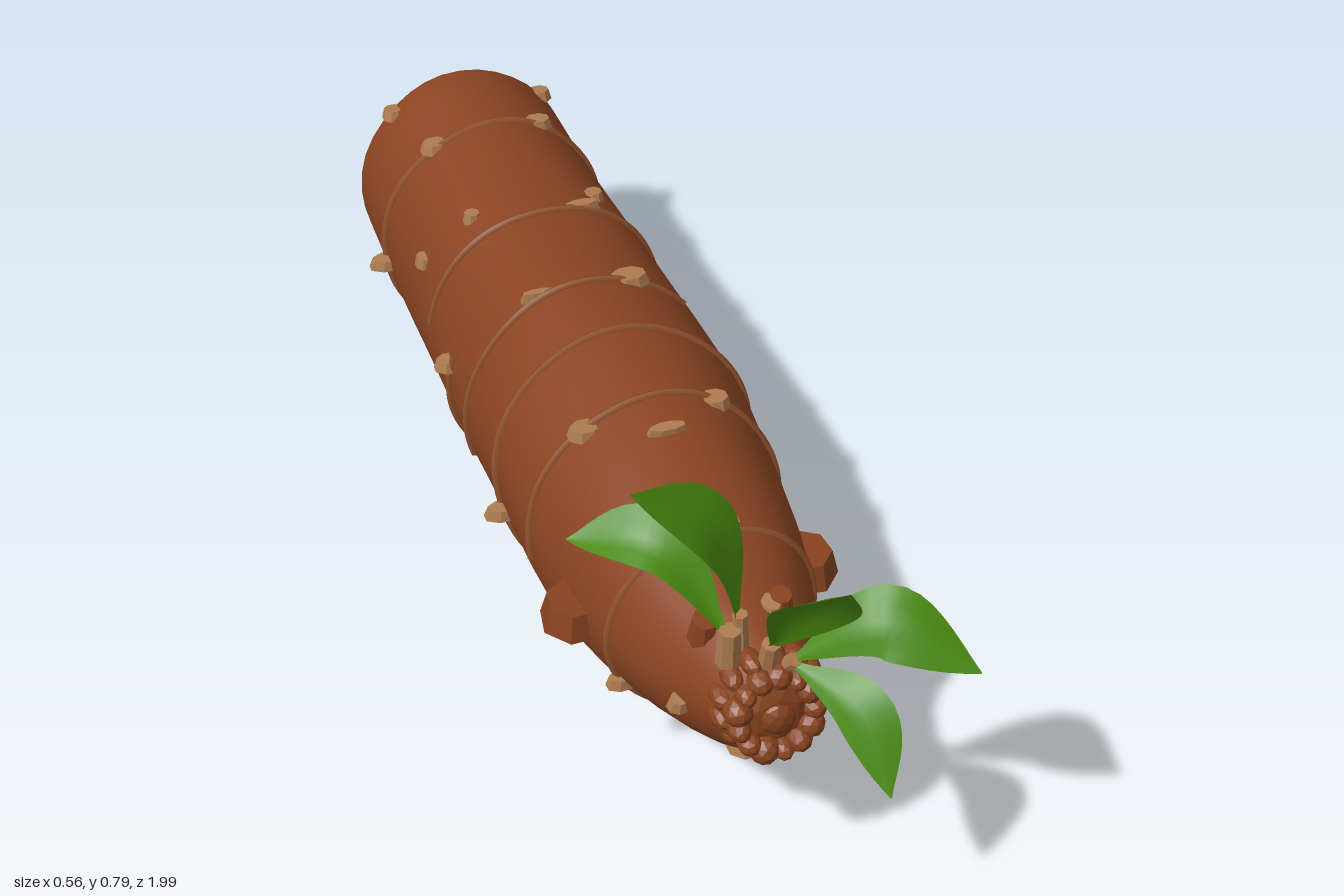
import * as THREE from 'three';

const V = (x, y, z) => new THREE.Vector3(x, y, z);
const mat = (name, color, extra = {}) => Object.assign(new THREE.MeshStandardMaterial({ color, ...extra }), { name });

// Body cross-sections: z, centre x, centre y, half width, half height
const SECTIONS = [
  [-0.992, -0.025, 0.255, 0.192, 0.218], [-0.965, -0.027, 0.255, 0.204, 0.236],
  [-0.8, -0.023, 0.255, 0.21, 0.235], [-0.6, -0.018, 0.257, 0.217, 0.239],
  [-0.4, -0.012, 0.26, 0.222, 0.245], [-0.2, -0.01, 0.27, 0.228, 0.254],
  [0, -0.008, 0.278, 0.232, 0.252], [0.2, -0.01, 0.28, 0.224, 0.24],
  [0.4, -0.01, 0.29, 0.2, 0.21], [0.55, -0.01, 0.305, 0.165, 0.173],
  [0.65, -0.01, 0.32, 0.13, 0.145], [0.72, -0.01, 0.335, 0.105, 0.12],
  [0.79, -0.01, 0.35, 0.075, 0.085],
];

function sectionAt(z) {
  let i = 0;
  while (i < SECTIONS.length - 2 && z > SECTIONS[i + 1][0]) i++;
  const a = SECTIONS[i], b = SECTIONS[i + 1];
  const t = THREE.MathUtils.clamp((z - a[0]) / (b[0] - a[0]), 0, 1);
  return a.map((v, k) => v + (b[k] - v) * t);
}

// Point on the body; angle runs from +x towards +y
function surface(z, a) {
  const [, cx, cy, rx, ry] = sectionAt(z);
  const r = 1 + 0.008 * Math.sin(5 * a + 7 * z) + 0.006 * Math.sin(3 * a - 13 * z);
  return V(cx + rx * r * Math.cos(a), cy + ry * r * Math.sin(a), z);
}

// Smooth surface made from a grid of points
function gridGeometry(rows, closed) {
  const n = rows[0].length, pos = [], idx = [];
  rows.forEach((row) => row.forEach((p) => pos.push(p.x, p.y, p.z)));
  for (let j = 0; j < rows.length - 1; j++) {
    for (let i = 0; i < (closed ? n : n - 1); i++) {
      const a = j * n + i, b = j * n + ((i + 1) % n);
      idx.push(a, b, b + n, a, b + n, a + n);
    }
  }
  const g = new THREE.BufferGeometry();
  g.setAttribute('position', new THREE.Float32BufferAttribute(pos, 3));
  g.setIndex(idx);
  g.computeVertexNormals();
  return g;
}

export function createModel() {
  const model = new THREE.Group();
  model.name = 'rootVegetable';
  const skin = mat('skin brown', 0x8a4422);
  const knobSkin = mat('knob brown', 0x87431f, { flatShading: true });
  const ridge = mat('ridge brown', 0x955530);
  const scar = mat('scar tan', 0xae7c50, { flatShading: true });
  const flesh = mat('cut flesh', 0xd2cec2);
  const green = mat('leaf green', 0x4a8a10, { side: THREE.DoubleSide });
  const add = (name, geometry, material, parent = model) => {
    const m = new THREE.Mesh(geometry, material);
    m.name = name;
    parent.add(m);
    return m;
  };

  // Body and its cut end
  const SEG = 36, rows = [];
  const ringAngles = Array.from({ length: SEG }, (_, i) => (i / SEG) * Math.PI * 2);
  const zs = [-0.992, -0.985, -0.965];
  for (let z = -0.9; z < 0.78; z += 0.07) zs.push(z);
  zs.push(0.79);
  zs.forEach((z) => rows.push(ringAngles.map((a) => surface(z, a))));
  add('body', gridGeometry(rows, true), skin);
  const centre = V(-0.025, 0.255, -0.994);
  const rim = ringAngles.map((a) => surface(-0.992, a));
  add('cutEnd', gridGeometry([rim.map(() => centre), rim], true), flesh);

  // Growth ridges: z, start angle, end angle, slant
  const T = Math.PI * 2;
  [[-0.78, 0, T, 0.01], [-0.46, 0.1, 3.0, 0.01], [-0.29, -2.0, 0.15, -0.03], [-0.195, 0.7, 3.5, 0.01],
    [0, -1.5, 4.2, -0.03], [0.18, -0.3, 3.3, -0.02], [0.485, 0, T, 0.008], [-0.31, 2.9, 4.4, 0.02],
  ].forEach(([z, a0, a1, slant]) => {
    const full = a1 - a0 > 6.2, pts = [];
    for (let i = 0; i < 40; i++) {
      const a = a0 + ((a1 - a0) * i) / (full ? 40 : 39);
      pts.push(surface(z + slant * Math.sin(a), a));
    }
    const curve = new THREE.CatmullRomCurve3(pts, full);
    add('growthRidge', new THREE.TubeGeometry(curve, 80, 0.0075, 5, full), ridge);
  });

  // Raised plates lying on the skin
  function plate(name, z, a, around, along, height, material, sides = 8) {
    const e = 0.02, p = surface(z, a);
    const t = surface(z, a + e).sub(surface(z, a - e)).normalize();
    const l = surface(z + e, a).sub(surface(z - e, a)).normalize();
    const n = t.clone().cross(l).normalize();
    const g = new THREE.CylinderGeometry(0.8, 1, 1, sides);
    g.rotateY(Math.PI / sides).scale(around / 2, height * 2, along / 2);
    const m = add(name, g, material);
    m.quaternion.setFromRotationMatrix(new THREE.Matrix4().makeBasis(t, n, n.clone().cross(t).negate().multiplyScalar(-1)));
    m.position.copy(p);
  }
  const topAngle = (x, z) => { const s = sectionAt(z); return Math.acos((x - s[1]) / s[3]); };
  const sideAngle = (y, z, side) => {
    const s = sectionAt(z), a = Math.asin((y - s[2]) / s[4]);
    return side > 0 ? a : Math.PI - a;
  };

  // Scars on top: x, z, width, length
  [[-0.13, -0.78, 0.06, 0.045], [0.07, -0.78, 0.06, 0.045], [-0.13, -0.52, 0.035, 0.035], [0.1, -0.52, 0.04, 0.04],
    [0.06, -0.46, 0.075, 0.028], [0.065, -0.195, 0.08, 0.055], [-0.1, -0.195, 0.07, 0.02], [-0.13, 0.168, 0.065, 0.05],
    [0.1, 0.168, 0.06, 0.05], [-0.01, 0.25, 0.08, 0.028], [-0.08, 0.48, 0.05, 0.04], [0.02, 0.48, 0.045, 0.04],
    [0.125, -0.955, 0.05, 0.045], [-0.165, -0.955, 0.045, 0.045], [-0.07, 0.58, 0.03, 0.02], [0.03, 0.66, 0.04, 0.05],
  ].forEach(([x, z, w, l]) => plate('topScar', z, topAngle(x, z), w, l, 0.01, scar));

  // Scars on the flanks: side, y, z, height, length
  [[1, 0.2, 0.483, 0.055, 0.04], [1, 0.24, -0.02, 0.08, 0.045], [1, 0.25, -0.31, 0.06, 0.045], [1, 0.17, -0.765, 0.075, 0.045],
    [1, 0.26, -0.77, 0.055, 0.035], [1, 0.23, -0.885, 0.03, 0.04], [1, 0.06, -0.3, 0.05, 0.07], [1, 0.31, 0.72, 0.035, 0.04],
    [-1, 0.2, 0.483, 0.06, 0.04], [-1, 0.22, 0.02, 0.08, 0.045], [-1, 0.3, -0.32, 0.06, 0.045], [-1, 0.22, -0.77, 0.08, 0.045],
    [-1, 0.31, 0.68, 0.045, 0.04], [-1, 0.36, -0.56, 0.035, 0.04],
  ].forEach(([s, y, z, h, l]) => plate('flankScar', z, sideAngle(y, z, s), h, l, 0.01, scar));
  plate('flatScar', -0.5, sideAngle(0.165, -0.5, 1), 0.075, 0.09, 0.004, scar);
  plate('frontScar', 0.67, -Math.PI / 2, 0.07, 0.07, 0.015, scar);
  plate('underScar', -0.26, -Math.PI / 2, 0.1, 0.06, 0.006, ridge);

  // Large buds on both flanks and small ones near the crown
  [1, -1].forEach((s) => plate('sideBud', 0.37, sideAngle(0.275, 0.37, s), 0.12, 0.125, 0.025, knobSkin, 7));
  plate('shoulderBud', 0.66, 2.2, 0.05, 0.06, 0.025, knobSkin);
  plate('shoulderBud', 0.65, 1.1, 0.045, 0.05, 0.02, knobSkin);

  // Knobbly crown
  const crown = new THREE.Group();
  crown.name = 'crown';
  model.add(crown);
  const knob = (x, y, z, rx, ry, rz, turn) => {
    const m = add('crownKnob', new THREE.IcosahedronGeometry(1, 1), knobSkin, crown);
    m.position.set(x, y, z);
    m.scale.set(rx, ry, rz);
    m.rotation.z = turn;
  };
  knob(-0.01, 0.355, 0.785, 0.07, 0.075, 0.035, 0);
  knob(-0.01, 0.355, 0.81, 0.03, 0.034, 0.02, 0.4);
  for (let i = 0; i < 13; i++) {
    const a = (i / 13) * T, big = 0.022 + 0.004 * Math.sin(i * 2.3);
    const c = Math.cos(a), s = Math.sin(a);
    knob(-0.01 + 0.064 * c, 0.358 + 0.064 * s, 0.8 - 0.015 * s, big, big, 0.028, a);
    knob(-0.01 + 0.08 * c, 0.358 + 0.084 * s, 0.758, 0.019, 0.019, 0.032, a + 1);
  }

  // Leaf stalk sheaths
  [[V(-0.07, 0.43, 0.74), V(-0.07, 0.5, 0.745), 0.022], [V(-0.015, 0.43, 0.77), V(-0.015, 0.49, 0.785), 0.018],
    [V(0.008, 0.42, 0.77), V(0.02, 0.46, 0.8), 0.015], [V(-0.045, 0.43, 0.73), V(-0.05, 0.52, 0.735), 0.015],
  ].forEach(([a, b, r]) => {
    const m = add('stalkSheath', new THREE.CylinderGeometry(r * 0.85, r, a.distanceTo(b), 7), scar);
    m.position.copy(a).lerp(b, 0.5);
    m.quaternion.setFromUnitVectors(V(0, 1, 0), b.clone().sub(a).normalize());
  });

  // Leaves: base, middle, tip, direction across the blade, half width
  [[V(-0.05, 0.49, 0.735), V(-0.095, 0.675, 0.72), V(-0.23, 0.8, 0.73), V(0.55, 0.25, -0.8), 0.062],
    [V(-0.07, 0.48, 0.745), V(-0.16, 0.622, 0.645), V(-0.28, 0.588, 0.555), V(0.5, 0.55, -0.55), 0.052],
    [V(-0.015, 0.475, 0.78), V(0.015, 0.635, 0.875), V(0.03, 0.75, 0.995), V(1, -0.1, 0.3), 0.066],
    [V(0.012, 0.45, 0.79), V(0.14, 0.56, 0.865), V(0.278, 0.48, 0.94), V(0.1, 0.7, -0.6), 0.06],
    [V(0.015, 0.45, 0.79), V(0.09, 0.425, 0.91), V(0.118, 0.3, 0.985), V(0.75, 0.6, 0.1), 0.048],
  ].forEach(([base, mid, tip, across, half]) => {
    const curve = new THREE.CatmullRomCurve3([base, mid, tip]), blade = [];
    for (let j = 0; j <= 16; j++) {
      const t = j / 16, p = curve.getPoint(t), d = curve.getTangent(t);
      const side = across.clone().addScaledVector(d, -across.dot(d)).normalize();
      const up = side.clone().cross(d).normalize();
      const w = Math.max(t < 0.5 ? 0.008 : 0.001, half * Math.sin(Math.PI * Math.pow(t, 1.15)));
      blade.push([-1, -0.5, 0, 0.5, 1].map((u) => p.clone().addScaledVector(side, u * w)
        .addScaledVector(up, w * 0.3 * Math.abs(u))));
    }
    add('leaf', gridGeometry(blade, false), green);
  });

  return model;
}
